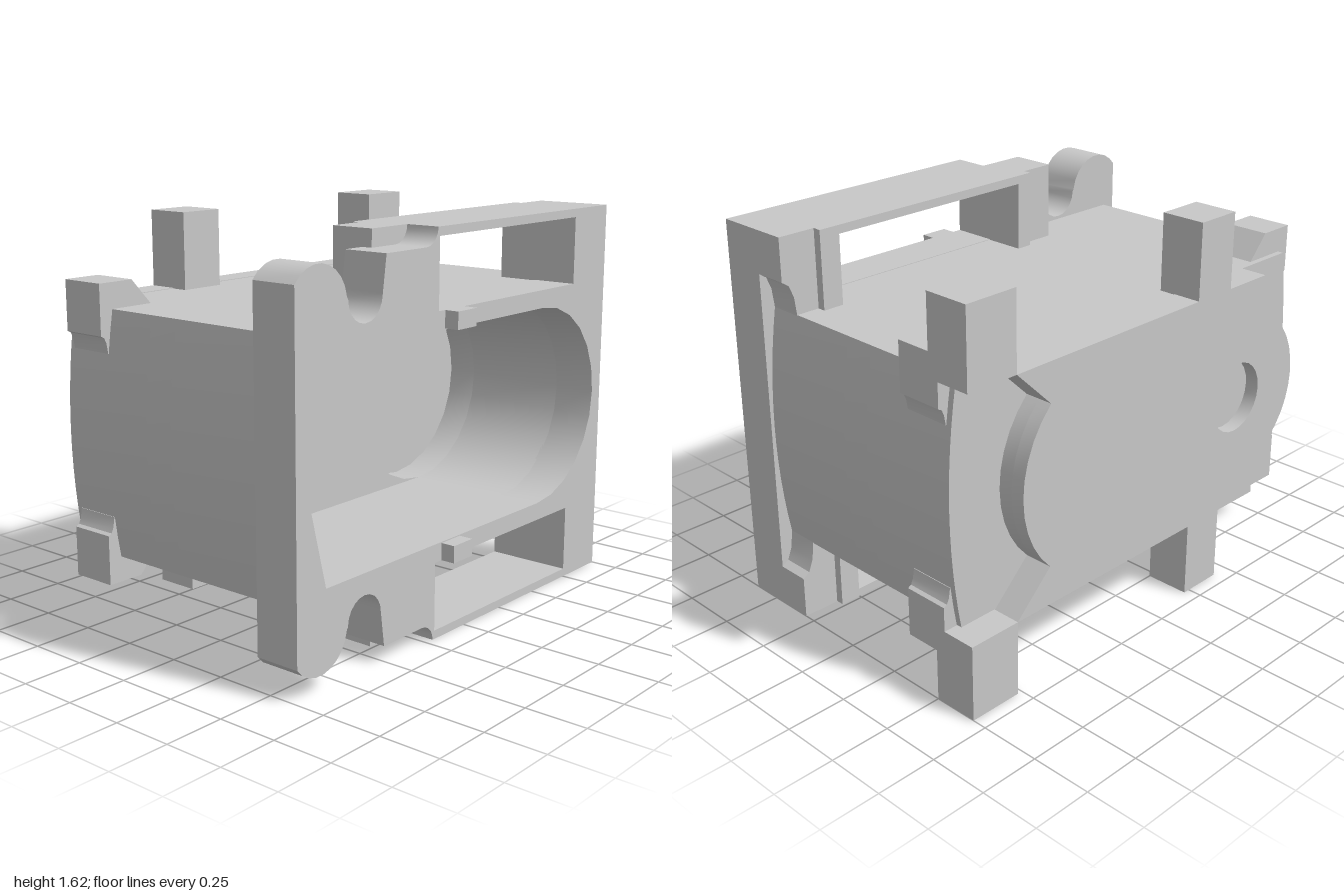
import * as THREE from 'three';
import { toCreasedNormals } from 'three/addons/utils/BufferGeometryUtils.js';

const H = 1.615; // total height; the model mirrors about H / 2
const MID = H / 2;

export function createModel() {
  const group = new THREE.Group();
  const grey = new THREE.MeshStandardMaterial({ color: 0xc8c8c8 });
  grey.name = 'grey';

  const add = (name, geo) => {
    const mesh = new THREE.Mesh(geo, grey);
    mesh.name = name;
    group.add(mesh);
  };
  const box = (name, x0, x1, y0, y1, z0, z1) => {
    const g = new THREE.BoxGeometry(x1 - x0, y1 - y0, z1 - z0);
    g.translate((x0 + x1) / 2, (y0 + y1) / 2, (z0 + z1) / 2);
    add(name, g);
  };
  // Same box at the top and mirrored at the bottom
  const boxPair = (name, x0, x1, y0, y1, z0, z1) => {
    box(name + 'Top', x0, x1, y0, y1, z0, z1);
    box(name + 'Bottom', x0, x1, H - y1, H - y0, z0, z1);
  };
  // Extrude a [z, y] outline from x0 to x1; outlines are made counter-clockwise so hole walls face inwards
  const toPts = (pts) => {
    const v = pts.map(([z, y]) => new THREE.Vector2(-z, y));
    return THREE.ShapeUtils.isClockWise(v) ? v.reverse() : v;
  };
  const slab = (name, pts, x0, x1, holes = []) => {
    const shape = new THREE.Shape(toPts(pts));
    holes.forEach((h) => shape.holes.push(new THREE.Path(toPts(h))));
    const g = new THREE.ExtrudeGeometry(shape, { depth: x1 - x0, bevelEnabled: false });
    g.rotateY(Math.PI / 2);
    g.translate(x0, 0, 0);
    add(name, toCreasedNormals(g, 0.5));
  };
  // Arc in the z-y plane, angles in degrees measured from +z towards +y
  const arc = (cz, cy, r, a0, a1, n) => Array.from({ length: n + 1 }, (_, i) => {
    const a = THREE.MathUtils.degToRad(a0 + ((a1 - a0) * i) / n);
    return [cz + r * Math.cos(a), cy + r * Math.sin(a)];
  });
  const flip = (pts) => pts.map(([z, y]) => [z, H - y]);
  const closeMirror = (pts) => [...pts, ...flip(pts).reverse()];
  const slabPair = (name, pts, x0, x1) => {
    slab(name + 'Top', pts, x0, x1);
    slab(name + 'Bottom', flip(pts), x0, x1);
  };

  // Main barrel outline: flat top and bottom, gently bowed front and back
  const bow = (s) => Array.from({ length: 13 }, (_, i) => {
    const t = -1 + i / 6;
    return [s * (0.94 + 0.045 * (1 - t * t)), MID + s * t * 0.49];
  });
  const bodyOutline = [...bow(1), ...bow(-1)];

  // Cavity: faceted front end, round back end, round recess in its floor
  const cavity = [
    [0.845, 0.39], [0.92, 0.68], [0.92, 0.94], [0.845, 1.225],
    ...arc(-0.52, MID, 0.418, 90, 270, 12),
  ];
  slab('barrelOpenEnd', bodyOutline, 0, 0.45, [cavity]);
  slab('barrelRecess', bodyOutline, -0.13, 0, [arc(-0.52, MID, 0.418, 0, 345, 23)]);
  slab('barrelClosedEnd', bodyOutline, -0.57, -0.13);

  // Flange plate with bumps, notches, cavity opening and slots
  const flange = closeMirror([
    ...arc(0.88, 1.395, 0.15, 37, 172, 9),
    ...arc(0.63, 1.405, 0.095, 0, -180, 10),
    [0.515, 1.545], [0.28, 1.545],
    ...arc(0.28, 1.615, 0.07, 270, 180, 5).slice(1),
    [-1, H],
  ]);
  const slot = [[-0.75, 1.3], [0.2, 1.3], [0.2, 1.58], [-0.75, 1.58]];
  slab('flangePlate', flange, 0.44, 0.63, [cavity, slot, flip(slot)]);

  // Slot frames behind the flange, curved where the back end meets the barrel
  boxPair('slotFrameFront', 0.3, 0.485, 1.29, H, 0.2, 0.42);
  boxPair('slotFrameRail', 0.3, 0.485, 1.58, H, -0.75, 0.2);
  slabPair('slotFrameBack', [
    [-0.75, H], [-1, H], [-1, 1.44], [-0.97, 1.42], [-0.95, 1.37], [-0.94, 1.29], [-0.75, 1.29],
  ], 0.3, 0.485);
  boxPair('slotLipFront', 0.265, 0.3, 1.29, H, 0.2, 0.27);
  boxPair('slotLipRail', 0.265, 0.3, 1.58, H, -0.75, 0.2);
  boxPair('slotLipBack', 0.265, 0.3, 1.29, H, -0.84, -0.75);

  // Small pegs on the flange face
  boxPair('peg', 0.63, 0.69, 1.23, 1.3, 0.04, 0.16);

  // End plate with rounded ends and a shallow blind hole
  const endPlate = closeMirror([
    ...arc(0.53, MID, 0.352, 0, 70, 7),
    [0.65, 1.3], [-0.77, 1.3],
    ...arc(-0.281, MID, 0.459, 134, 180, 5),
  ]);
  slab('endPlate', endPlate, -0.63, -0.57);
  slab('endPlateFace', endPlate, -0.69, -0.63, [arc(0.5, MID, 0.15, 0, 345, 23)]);

  // Upright posts
  boxPair('backPost', -0.69, -0.5, 1.3, H, -1, -0.77);
  boxPair('middlePost', -0.69, -0.5, 1.29, H, 0.22, 0.42);

  // Corner clips: sloped inner side, hollow curve under the outer side
  const clip = (inner, crest) => [
    [inner, 1.29], [crest, 1.4], [1, 1.4], [1, 1.2],
    [0.985, 1.192], [0.975, 1.17], [0.968, 1.13], [0.9, 1.13],
  ];
  slabPair('frontClip', clip(0.74, 0.84), -0.545, -0.35);
  slabPair('backClip', clip(0.82, 0.94).map(([z, y]) => [-z, y]), -0.545, -0.35);

  return group;
}
